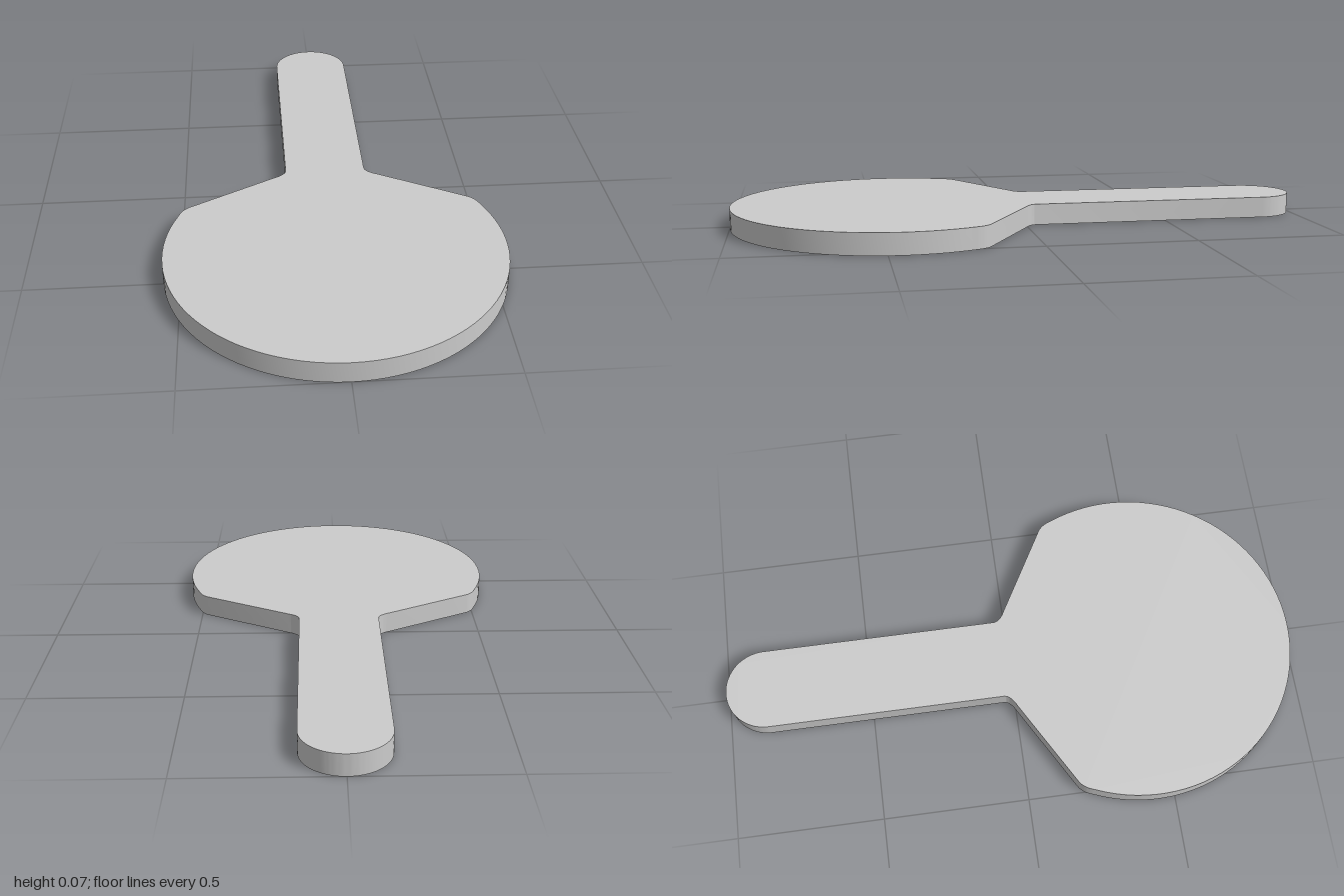
import * as THREE from 'three';
import { toCreasedNormals } from 'three/addons/utils/BufferGeometryUtils.js';

const THICKNESS = 0.072;
const HANDLE = 0.14;                      // half width and end radius of the handle
const BLADE = { z: 0.443, r: 0.557 };     // round blade centre and radius

// Plan outline, drawn counter-clockwise with shape y = -z
function paddleOutline() {
  const s = new THREE.Shape();
  const cornerZ = 0.225;
  const a = Math.asin((BLADE.z - cornerZ) / BLADE.r);
  const cornerX = BLADE.r * Math.cos(a);

  // rounded handle end
  s.moveTo(HANDLE, 0.86);
  s.absarc(0, 0.86, HANDLE, 0, Math.PI, false);
  // left side of the handle, neck fillet, shoulder and rounded corner
  s.lineTo(-HANDLE, 0.04);
  s.quadraticCurveTo(-HANDLE, 0.015, -0.18, -0.004);
  s.lineTo(-0.475, -0.172);
  s.quadraticCurveTo(-0.5, -0.186, -cornerX, -cornerZ);
  // round blade
  s.absarc(0, -BLADE.z, BLADE.r, Math.PI - a, 2 * Math.PI + a, false);
  // right corner, shoulder and neck fillet, mirrored
  s.quadraticCurveTo(0.5, -0.186, 0.475, -0.172);
  s.lineTo(0.18, -0.004);
  s.quadraticCurveTo(HANDLE, 0.015, HANDLE, 0.04);
  s.closePath();
  return s;
}

export function createModel() {
  const group = new THREE.Group();
  group.name = 'paddle';

  // flat plate: blade and handle in one piece
  const plate = new THREE.ExtrudeGeometry(paddleOutline(), {
    depth: THICKNESS, bevelEnabled: false, curveSegments: 32,
  });
  plate.rotateX(-Math.PI / 2);

  const mesh = new THREE.Mesh(
    toCreasedNormals(plate, 0.5),
    new THREE.MeshStandardMaterial({ color: 0xcccccc })
  );
  mesh.name = 'bladeAndHandle';
  group.add(mesh);
  return group;
}
